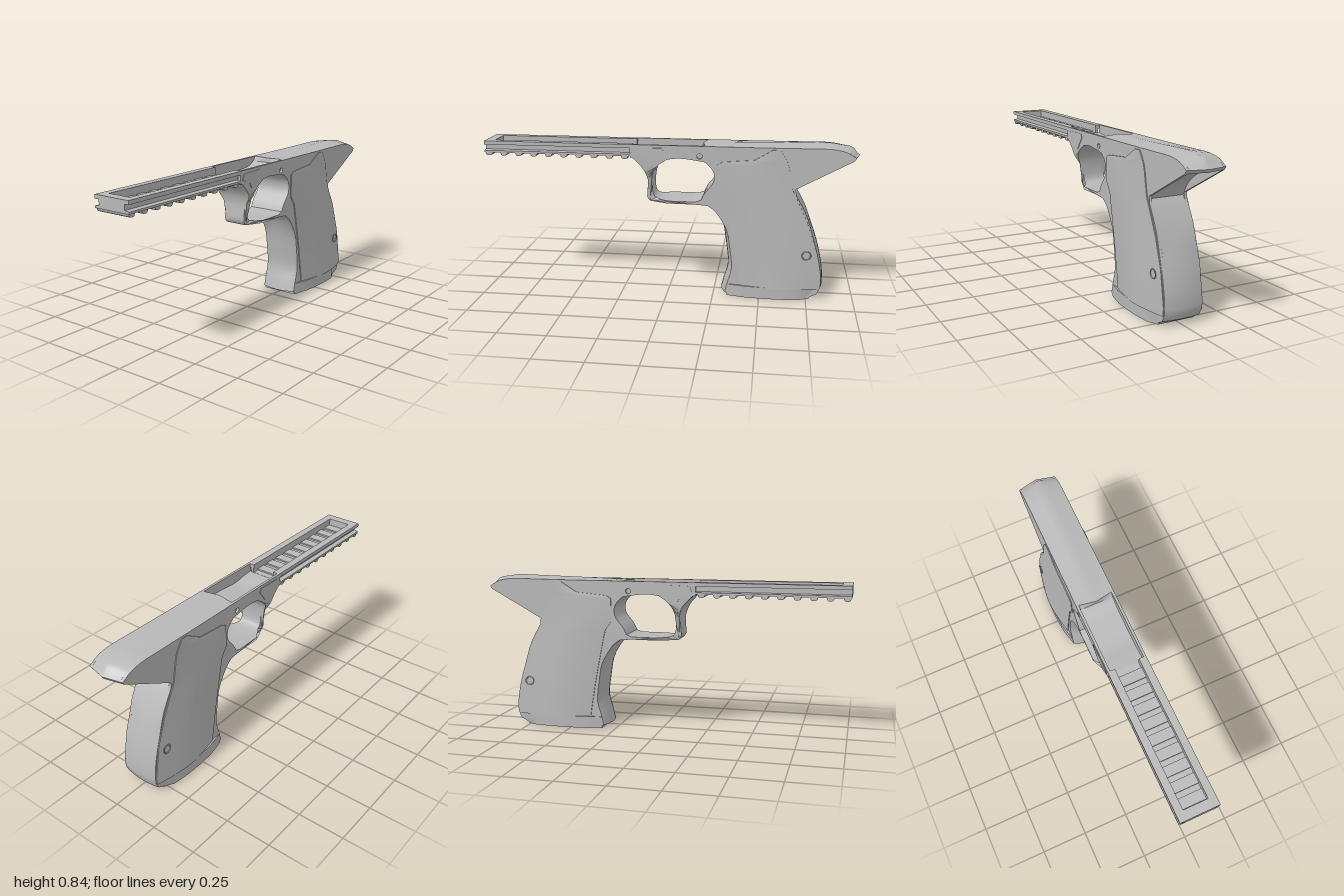
import * as THREE from 'three';
import { toCreasedNormals } from 'three/addons/utils/BufferGeometryUtils.js';

const HALF = 0.105; // half width of the frame
const WALL = 0.014; // side wall thickness

const metal = new THREE.MeshStandardMaterial({ color: 0xb8b8b8, side: THREE.DoubleSide });
metal.name = 'grey metal';

const V = (list) => list.map(([a, b]) => new THREE.Vector2(a, b));
const spline = (list, n) => new THREE.SplineCurve(V(list)).getPoints(n).map((p) => [p.x, p.y]);

// Extrude a side profile of (z, y) points across x, from x0 to x1
function sideSlab(points, x0, x1, holes = [], steps = 1) {
  const shape = new THREE.Shape(V(points));
  shape.holes = holes;
  const geo = new THREE.ExtrudeGeometry(shape, { depth: x1 - x0, steps, bevelEnabled: false, curveSegments: 10 });
  return geo.rotateY(-Math.PI / 2).translate(x1, 0, 0);
}

// Peaked roof, pointed tail, rounded grip straps and narrow guard front
function shapeFrame(geo) {
  const p = geo.attributes.position;
  const { clamp, smoothstep } = THREE.MathUtils;
  for (let i = 0; i < p.count; i++) {
    let x = p.getX(i), y = p.getY(i), z = p.getZ(i);
    const out = Math.min(1, Math.abs(x) / HALF);
    const mid = 1 - out;
    const grip = smoothstep(0.48 - y, 0, 0.15) * out * out;
    if (z > 0 && z < 0.2 && y < 0.69) {
      x *= 1 - 0.4 * smoothstep(0.69 - y, 0, 0.1) * clamp(z / 0.06, 0, 1);
    }
    if (z < -0.7) z += 0.012 * grip;
    else if (z > -0.34) z -= 0.025 * grip;
    if (y > 0.81 && Math.abs(z + 0.2) < 0.001) z += 0.02 * mid;
    if (z < -0.17 && y > 0.79) y += 0.016 * mid * clamp((-z - 0.1) / 0.6, 0, 1);
    if (z < -0.9) z -= 0.025 * mid;
    p.setXYZ(i, x, y, z);
  }
  return toCreasedNormals(geo, 0.5);
}

// Grip side panel, lofted from rows of [y, front z, back z]
function panelGeometry(side) {
  const rows = [[0.06, -0.39, -0.82], [0.1, -0.385, -0.824], [0.28, -0.355, -0.793], [0.43, -0.325, -0.742],
    [0.55, -0.3, -0.685], [0.6, -0.265, -0.66], [0.725, -0.265, -0.635], [0.74, -0.29, -0.63],
    [0.755, -0.46, -0.625], [0.81, -0.55, -0.59]];
  const cols = 10, pos = [], idx = [];
  rows.forEach(([y, zf, zb]) => {
    const peak = 0.11 + (0.8 - y) * 0.043;
    for (let c = 0; c <= cols + 2; c++) {
      const t = THREE.MathUtils.clamp((c - 1) / cols, 0, 1);
      const rim = c === 0 || c === cols + 2;
      const bulge = 1 - Math.pow(Math.abs(2 * t - 1), 1.5);
      const x = rim ? 0.1 : 0.11 + (peak - 0.11) * bulge;
      pos.push(side * x, y, zf + (zb - zf) * t);
    }
  });
  const w = cols + 3;
  for (let r = 0; r < rows.length - 1; r++) {
    for (let c = 0; c < w - 1; c++) {
      const a = r * w + c, b = a + 1, d = a + w, e = d + 1;
      if (side > 0) idx.push(a, b, d, b, e, d);
      else idx.push(a, d, b, b, d, e);
    }
  }
  // Closed lower and upper ends
  [0, (rows.length - 1) * w].forEach((s, k) => {
    for (let c = 1; c < w - 1; c++) {
      if ((side > 0) === (k === 0)) idx.push(s, s + c + 1, s + c);
      else idx.push(s, s + c, s + c + 1);
    }
  });
  // Wind faces outward
  for (let i = 0; i < idx.length; i += 3) [idx[i + 1], idx[i + 2]] = [idx[i + 2], idx[i + 1]];
  const geo = new THREE.BufferGeometry();
  geo.setAttribute('position', new THREE.Float32BufferAttribute(pos, 3));
  geo.setIndex(idx.reverse());
  return toCreasedNormals(geo, 0.6);
}

export function createModel() {
  const model = new THREE.Group();
  model.name = 'pistolFrame';
  const add = (geo, name) => {
    const mesh = new THREE.Mesh(geo, metal);
    mesh.name = name;
    model.add(mesh);
    return mesh;
  };

  // Shared stretches of the side profile, as (z, y)
  const tailTop = [[-0.2, 0.82], [-0.5, 0.82], [-0.82, 0.822], ...spline([[-0.86, 0.82], [-0.92, 0.808], [-0.975, 0.778]], 6), [-0.965, 0.762]];
  const backStrap = spline([[-0.68, 0.57], [-0.725, 0.49], [-0.77, 0.39], [-0.81, 0.27], [-0.835, 0.15], [-0.838, 0.07]], 16);
  const heel = [[-0.82, 0.03], [-0.76, 0.0], [-0.36, 0.0], [-0.29, 0.018]];
  const frontStrap = spline([[-0.305, 0.08], [-0.325, 0.16], [-0.312, 0.28], [-0.293, 0.39], [-0.26, 0.465], [-0.215, 0.5]], 16);
  const guardOuter = [[-0.15, 0.505], [0, 0.505], [0.03, 0.505], [0.06, 0.505], ...spline([[0.1, 0.507], [0.115, 0.53], [0.112, 0.58], [0.11, 0.635], [0.13, 0.69], [0.18, 0.745]], 14), [0.2, 0.752]];
  const guardFront = spline([[0.04, 0.72], [0.075, 0.68], [0.087, 0.63], [0.085, 0.56], [0.07, 0.53], [0.035, 0.52]], 12);
  const guardBack = [[0, 0.519], [-0.15, 0.519], ...spline([[-0.18, 0.53], [-0.2, 0.57], [-0.245, 0.63], [-0.242, 0.69], [-0.2, 0.735]], 12)];
  const arch = spline([[-0.16, 0.742], [-0.07, 0.752], [0.0, 0.745]], 6);
  const opening = new THREE.Path(V([...guardFront, ...guardBack, ...arch]));

  // Core: dished floor above the trigger, scooped under the tail
  const scoop = spline([[-0.92, 0.757], [-0.84, 0.74], [-0.76, 0.7], [-0.7, 0.65], [-0.665, 0.59]], 10);
  const floor = [[0.2, 0.775], ...spline([[0.13, 0.768], [0.06, 0.757], [-0.05, 0.764], [-0.13, 0.772], [-0.18, 0.795]], 12)];
  const core = [...tailTop, ...scoop, ...backStrap, ...heel, ...frontStrap, ...guardOuter, ...floor];
  add(shapeFrame(sideSlab(core, -HALF + WALL, HALF - WALL, [opening], 6)), 'frameCore');

  // Side walls with the trigger opening and a pin hole
  const wall = [[0.2, 0.82], ...tailTop, [-0.675, 0.605], ...backStrap, ...heel, ...frontStrap, ...guardOuter];
  const pin = new THREE.Path().absarc(-0.17, 0.766, 0.014, 0, Math.PI * 2);
  const shield = [[0.17, 0.8], [0.03, 0.805], [0.018, 0.785], [0.07, 0.715], [0.1, 0.712], [0.125, 0.75], [0.18, 0.768]];
  for (const side of [1, -1]) {
    const label = side > 0 ? 'left' : 'right';
    const inner = side * (HALF - WALL), outer = side * HALF;
    add(shapeFrame(sideSlab(wall, Math.min(inner, outer), Math.max(inner, outer), [opening, pin])), label + 'Wall');
    add(sideSlab(shield, side * 0.1055 - 0.002, side * 0.1055 + 0.002), label + 'ShieldPlate');
    add(panelGeometry(side), label + 'GripPanel');
    // Screw seat near the back of the panel
    const seat = new THREE.TorusGeometry(0.023, 0.003, 6, 24).rotateY(Math.PI / 2);
    add(seat, label + 'ScrewSeat').position.set(side * 0.121, 0.25, -0.745);
  }

  // Flared grip base
  const halfPlan = [[0.105, -0.325], [0.128, -0.43], [0.135, -0.52], [0.135, -0.62], [0.127, -0.71], [0.1, -0.815]];
  const plan = [...halfPlan, ...halfPlan.slice().reverse().map(([x, z]) => [-x, z])];
  const base = new THREE.ExtrudeGeometry(new THREE.Shape(V(plan.map(([x, z]) => [x, -z]))), { depth: 0.064, bevelEnabled: false });
  base.rotateX(-Math.PI / 2);
  const bp = base.attributes.position;
  for (let i = 0; i < bp.count; i++) {
    if (bp.getY(i) < 0.01 && bp.getZ(i) < -0.75) bp.setZ(i, -0.765);
  }
  add(toCreasedNormals(base, 0.4), 'gripBase');

  // Front rail: grooved sides and an open trough on top, closed at the muzzle
  const halfRail = [[0.065, 0.775], [0.065, 0.82], [HALF, 0.82], [HALF, 0.8], [0.08, 0.8], [0.08, 0.772], [HALF, 0.768], [HALF, 0.757]];
  const section = [...halfRail, ...halfRail.slice().reverse().map(([x, y]) => [-x, y])];
  const rail = new THREE.ExtrudeGeometry(new THREE.Shape(V(section)), { depth: 0.81, bevelEnabled: false });
  add(rail.translate(0, 0, 0.19), 'frontRail');
  add(new THREE.BoxGeometry(0.13, 0.047, 0.05), 'muzzlePlate').position.set(0, 0.7965, 0.975);

  // Cross teeth under the rail and slats in its trough
  const tooth = sideSlab([[-0.021, 0.76], [-0.015, 0.744], [-0.008, 0.74], [0.008, 0.74], [0.015, 0.744], [0.021, 0.76]], -0.1, 0.1);
  const slat = new THREE.BoxGeometry(0.13, 0.008, 0.055);
  for (let i = 0; i < 10; i++) {
    const z = 0.977 - i * 0.083;
    add(tooth, 'railTooth').position.z = z;
    if (i < 9) add(slat, 'troughSlat').position.set(0, 0.779, z - 0.06);
  }
  return model;
}
